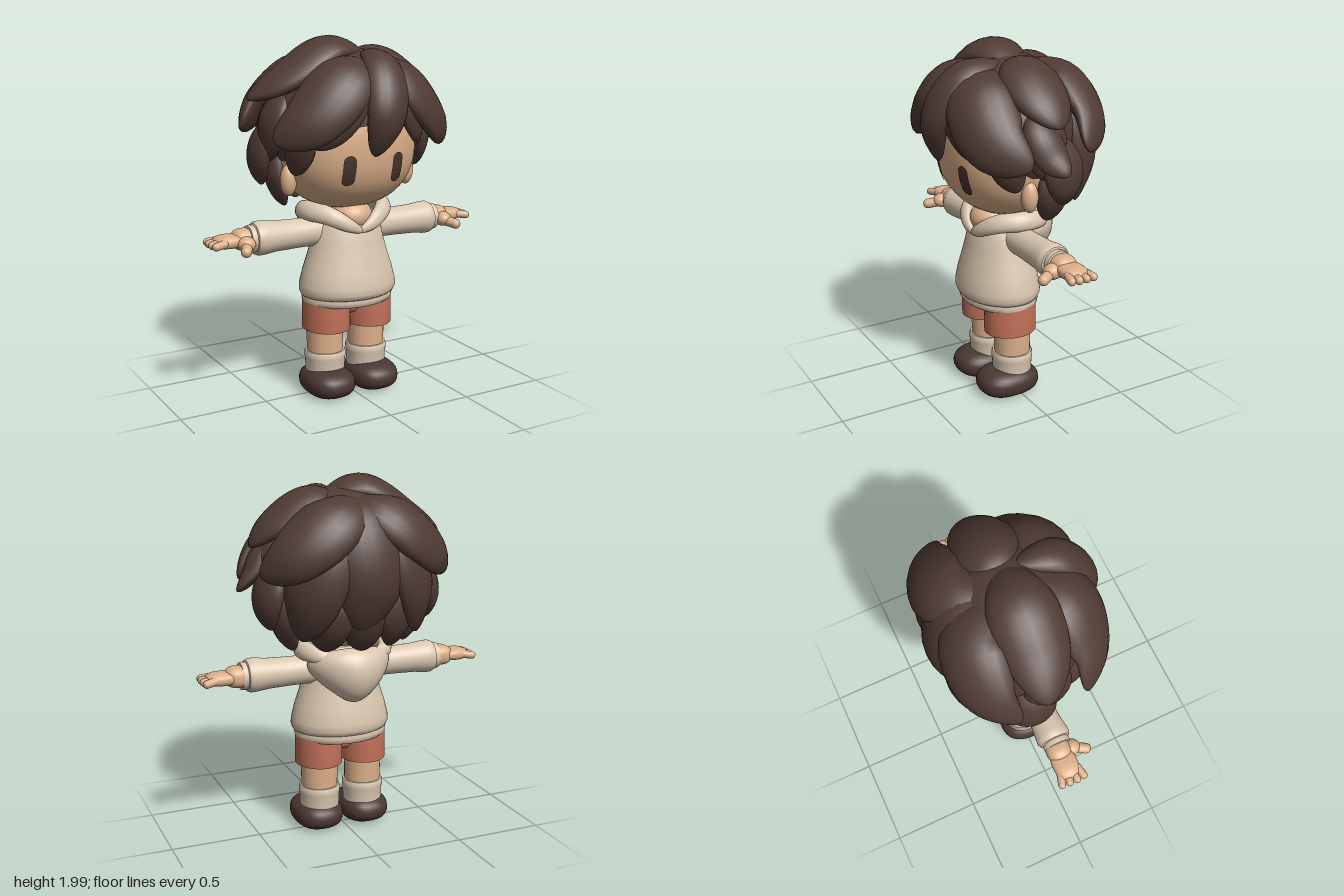
import * as THREE from 'three';
import { mergeVertices, toCreasedNormals } from 'three/addons/utils/BufferGeometryUtils.js';

const V = (x, y, z) => new THREE.Vector3(x, y, z);

export function createModel() {
  const root = new THREE.Group();
  root.name = 'chibiChild';
  const material = (name, color) => {
    const m = new THREE.MeshStandardMaterial({ color });
    m.name = name;
    return m;
  };
  const hair = material('hairBrown', 0x503b34);
  hair.side = THREE.DoubleSide;
  const skin = material('skin', 0xdcb08a);
  const cream = material('hoodieCream', 0xdac7b0);
  const sockMat = material('sockCream', 0xdccab4);
  const shortsMat = material('shortsTerracotta', 0xc27159);
  const shoeMat = material('shoeBrown', 0x4a3732);
  const eyeMat = material('eyeBrown', 0x4a352e);

  const add = (name, geo, mat, parent = root) => {
    const m = new THREE.Mesh(geo, mat);
    m.name = name;
    parent.add(m);
    return m;
  };
  const group = (name) => {
    const g = new THREE.Group();
    g.name = name;
    root.add(g);
    return g;
  };

  // Move every vertex by a rule, then weld and smooth
  const reshape = (geo, rule) => {
    const p = geo.attributes.position, v = V(0, 0, 0);
    for (let i = 0; i < p.count; i++) {
      rule(v.fromBufferAttribute(p, i));
      p.setXYZ(i, v.x, v.y, v.z);
    }
    geo.deleteAttribute('uv');
    geo.deleteAttribute('normal');
    const g = mergeVertices(geo, 1e-5);
    g.computeVertexNormals();
    return g;
  };
  // Rounded block: an ellipsoid with squarer sides for n above 2
  const blob = (c, r, n = 2, after = () => {}) => reshape(new THREE.SphereGeometry(1, 40, 28), (v) => {
    const k = Math.abs(v.x / r[0]) ** n + Math.abs(v.y / r[1]) ** n + Math.abs(v.z / r[2]) ** n;
    v.multiplyScalar(k ** (-1 / n)).add(V(...c));
    after(v);
  });
  const lathe = (pts, sx = 1, sz = 1) => toCreasedNormals(
    new THREE.LatheGeometry(pts.map((p) => new THREE.Vector2(...p)), 40).scale(sx, 1, sz), 0.7);
  const capsule = (a, b, r) => {
    const A = V(...a), d = V(...b).sub(A);
    const g = new THREE.CapsuleGeometry(r, d.length(), 6, 16);
    g.applyQuaternion(new THREE.Quaternion().setFromUnitVectors(V(0, 1, 0), d.clone().normalize()));
    const m = A.addScaledVector(d, 0.5);
    return g.translate(m.x, m.y, m.z);
  };

  // Leaf-shaped strand swept along a curve and bent around a centre
  const strand = (pts, w, th, centre = V(0, 1.45, 0), bend = 1, power = 0.55) => {
    const curve = new THREE.CatmullRomCurve3(pts.map((p) => V(...p)));
    const n = 30, m = 20, pos = [], idx = [];
    for (let i = 0; i <= n; i++) {
      const t = (1 - Math.cos(Math.PI * i / n)) / 2;
      const c = curve.getPointAt(t), T = curve.getTangentAt(t);
      const N = c.clone().sub(centre);
      N.addScaledVector(T, -N.dot(T)).normalize();
      const B = T.clone().cross(N);
      const s = Math.max(1e-3, Math.sin(Math.PI * t)) ** power;
      for (let j = 0; j < m; j++) {
        const a = j / m * Math.PI * 2, u = Math.cos(a) * w * s;
        const q = c.clone().addScaledVector(B, u).addScaledVector(N, Math.sin(a) * th * s - bend * u * u);
        pos.push(q.x, q.y, q.z);
        if (i < n) {
          const k = i * m + j, l = i * m + (j + 1) % m;
          idx.push(k, k + m, l, l, k + m, l + m);
        }
      }
    }
    const g = new THREE.BufferGeometry();
    g.setAttribute('position', new THREE.Float32BufferAttribute(pos, 3));
    g.setIndex(idx);
    g.computeVertexNormals();
    return g;
  };
  const flip = (pts) => pts.map(([x, y, z]) => [-x, y, z]);

  // Head, ears and eyes
  const HC = [0, 1.42, 0], HR = [0.39, 0.36, 0.33], HN = 2.3;
  const head = group('head');
  add('face', blob(HC, HR, HN), skin, head);
  for (const s of [1, -1]) {
    add('ear', blob([s * 0.368, 1.24, 0.045], [0.045, 0.085, 0.045]), skin, head);
    const eye = reshape(new THREE.RingGeometry(0.001, 1, 32, 5), (v) => {
      const r = v.length();
      v.set(s * 0.145 + v.x * 0.035, 1.308 + v.y * 0.035 + Math.sign(Math.round(v.y * 1e4)) * r * 0.047, 0);
      const k = 1 - Math.abs(v.x / HR[0]) ** HN - Math.abs((v.y - HC[1]) / HR[1]) ** HN;
      v.z = HR[2] * k ** (1 / HN) + 0.006;
    });
    add('eye', eye, eyeMat, head);
  }

  // Hair: a tilted cap under layers of strands
  const hairGroup = group('hair');
  const cap = new THREE.SphereGeometry(1, 40, 24, 0, Math.PI * 2, 0, Math.PI * 0.66);
  cap.rotateX(-0.55).scale(0.44, 0.4, 0.39).translate(0, 1.53, -0.02);
  add('hairCap', cap, hair, hairGroup);
  const single = [
    ['topSweepRight', [[0.13, 1.87, 0], [-0.1, 1.925, -0.01], [-0.36, 1.78, -0.02], [-0.55, 1.665, -0.06]], 0.185, 0.075],
    ['topSweepLeft', [[0.04, 1.86, 0], [0.18, 1.88, -0.02], [0.4, 1.75, -0.02], [0.53, 1.63, -0.03]], 0.175, 0.07],
    ['centreBang', [[0.09, 1.9, 0.06], [0.07, 1.84, 0.28], [0.02, 1.61, 0.415], [-0.03, 1.385, 0.37]], 0.125, 0.07],
    ['rightBang', [[0.06, 1.86, 0.08], [-0.14, 1.8, 0.26], [-0.36, 1.59, 0.28], [-0.515, 1.465, 0.18]], 0.185, 0.07],
    ['leftBang', [[0.04, 1.86, 0.08], [0.2, 1.79, 0.26], [0.4, 1.57, 0.265], [0.545, 1.45, 0.14]], 0.185, 0.07],
    ['leftFlick', [[0.36, 1.7, 0.03], [0.46, 1.58, 0.03], [0.52, 1.48, 0], [0.605, 1.405, -0.04]], 0.1, 0.05],
    ['backCentre', [[0.03, 1.86, -0.08], [0.02, 1.79, -0.3], [0, 1.5, -0.405], [0.04, 1.21, -0.36]], 0.22, 0.075],
    ['napeCentre', [[0, 1.5, -0.3], [0, 1.33, -0.34], [0, 1.2, -0.31], [-0.01, 1.08, -0.26]], 0.14, 0.06],
  ];
  for (const [name, pts, w, th] of single) add(name, strand(pts, w, th), hair, hairGroup);
  const paired = [
    ['backSweep', [[0, 1.86, -0.06], [0.15, 1.81, -0.29], [0.38, 1.63, -0.31], [0.53, 1.5, -0.2]], 0.185, 0.075],
    ['innerBang', [[0.06, 1.82, 0.2], [0.17, 1.7, 0.32], [0.25, 1.56, 0.31], [0.32, 1.43, 0.25]], 0.13, 0.045],
    ['sideburn', [[0.32, 1.64, 0.18], [0.37, 1.5, 0.19], [0.375, 1.4, 0.17], [0.375, 1.28, 0.12]], 0.1, 0.045],
    ['sideStrand', [[0.36, 1.72, 0], [0.435, 1.58, 0], [0.45, 1.47, -0.01], [0.45, 1.34, -0.02]], 0.13, 0.055],
    ['lowerSideStrand', [[0.37, 1.58, -0.08], [0.455, 1.44, -0.1], [0.475, 1.32, -0.11], [0.45, 1.2, -0.12]], 0.13, 0.06],
    ['behindEarStrand', [[0.36, 1.42, -0.08], [0.385, 1.28, -0.1], [0.36, 1.17, -0.1], [0.32, 1.075, -0.1]], 0.11, 0.055],
    ['backSideStrand', [[0.1, 1.82, -0.12], [0.22, 1.69, -0.29], [0.3, 1.43, -0.335], [0.33, 1.16, -0.26]], 0.18, 0.065],
    ['napeStrand', [[0.15, 1.48, -0.27], [0.19, 1.32, -0.31], [0.2, 1.2, -0.28], [0.19, 1.085, -0.22]], 0.13, 0.06],
  ];
  for (const [name, pts, w, th] of paired) {
    add(name, strand(pts, w, th), hair, hairGroup);
    add(name, strand(flip(pts), w, th), hair, hairGroup);
  }

  // Hoodie body, hem, collar and hood
  const hoodie = group('hoodie');
  add('torso', lathe([[0, 0.57], [0.25, 0.57], [0.272, 0.58], [0.284, 0.605], [0.282, 0.64], [0.262, 0.72], [0.235, 0.8],
    [0.212, 0.88], [0.195, 0.95], [0.165, 1.01], [0.11, 1.05], [0, 1.06]], 1, 0.79), cream, hoodie).position.z = 0.03;
  add('hem', lathe([[0, 0.535], [0.25, 0.53], [0.263, 0.54], [0.267, 0.56], [0.26, 0.59]], 1, 0.78), cream, hoodie).position.z = 0.025;
  add('neck', blob([0, 1.02, 0.065], [0.12, 0.09, 0.12]), skin);
  const collar = [[-0.012, 0.945, 0.185], [0.07, 0.985, 0.18], [0.17, 1.04, 0.12], [0.235, 1.055, 0], [0.2, 1.04, -0.13], [0.08, 1.02, -0.2]];
  for (const pts of [collar, flip(collar)])
    add('collar', strand(pts, 0.055, 0.04, V(0, 0.93, 0), 0, 0.5), cream, hoodie);
  // Hood hangs behind, broad on the shoulders and narrowing to a soft point
  add('hood', reshape(new THREE.SphereGeometry(1, 40, 28), (v) => {
    const s = (v.y + 1) / 2;
    v.set(v.x * (0.1 + 0.23 * s), 0.925 + v.y * 0.155,
      -0.165 + v.z * 0.115 - 0.035 * s + 0.16 * v.x * v.x * s);
  }), cream, hoodie);

  for (const s of [1, -1]) {
    // Sleeve and cuff
    const sleeve = lathe([[0, 0.08], [0.08, 0.1], [0.08, 0.3], [0.084, 0.44], [0.093, 0.51], [0.093, 0.54], [0.085, 0.557],
      [0.074, 0.56], [0.077, 0.575], [0.074, 0.59], [0.06, 0.592], [0, 0.585]]);
    add('sleeve', sleeve.rotateZ(-s * Math.PI / 2).translate(0, 0.935, 0), cream, hoodie);

    // Hand with four short fingers and a thumb
    const hand = group('hand');
    add('wrist', blob([s * 0.61, 0.938, -0.008], [0.07, 0.058, 0.068], 2.5), skin, hand);
    add('palm', blob([s * 0.695, 0.937, -0.008], [0.09, 0.036, 0.07], 2.6), skin, hand);
    [-0.066, -0.026, 0.014, 0.052].forEach((z, i) => add('finger',
      capsule([s * 0.74, 0.937, z * 0.85], [s * (0.797 - (i === 0 || i === 3 ? 0.005 : 0)), 0.93, z * 1.08], 0.022), skin, hand));
    add('thumbBase', blob([s * 0.625, 0.925, 0.06], [0.048, 0.042, 0.055]), skin, hand);
    add('thumb', capsule([s * 0.62, 0.922, 0.06], [s * 0.66, 0.905, 0.138], 0.029), skin, hand);

    // Leg, shorts, sock and shoe
    const leg = group('leg');
    leg.position.set(s * 0.133, 0, 0.01);
    add('shin', new THREE.CylinderGeometry(0.105, 0.102, 0.3, 32).translate(0, 0.34, 0), skin, leg);
    add('shortsLeg', lathe([[0, 0.41], [0.112, 0.41], [0.116, 0.385], [0.122, 0.38], [0.131, 0.383], [0.132, 0.4],
      [0.131, 0.5], [0.13, 0.57], [0, 0.58]], 1, 1.14), shortsMat, leg).position.z = 0.013;
    add('sock', lathe([[0, 0.1], [0.11, 0.1], [0.113, 0.2], [0.116, 0.21], [0.117, 0.238], [0.112, 0.25], [0.1, 0.25]]), sockMat, leg);
    add('shoe', blob([s * 0.007, 0.073, 0.035], [0.139, 0.083, 0.18], 2.5, (v) => {
      v.y = Math.max(0, v.y);
    }), shoeMat, leg);
  }
  // Shorts seat joining both legs
  add('shortsSeat', blob([0, 0.53, 0.02], [0.12, 0.08, 0.09], 3), shortsMat);
  return root;
}
